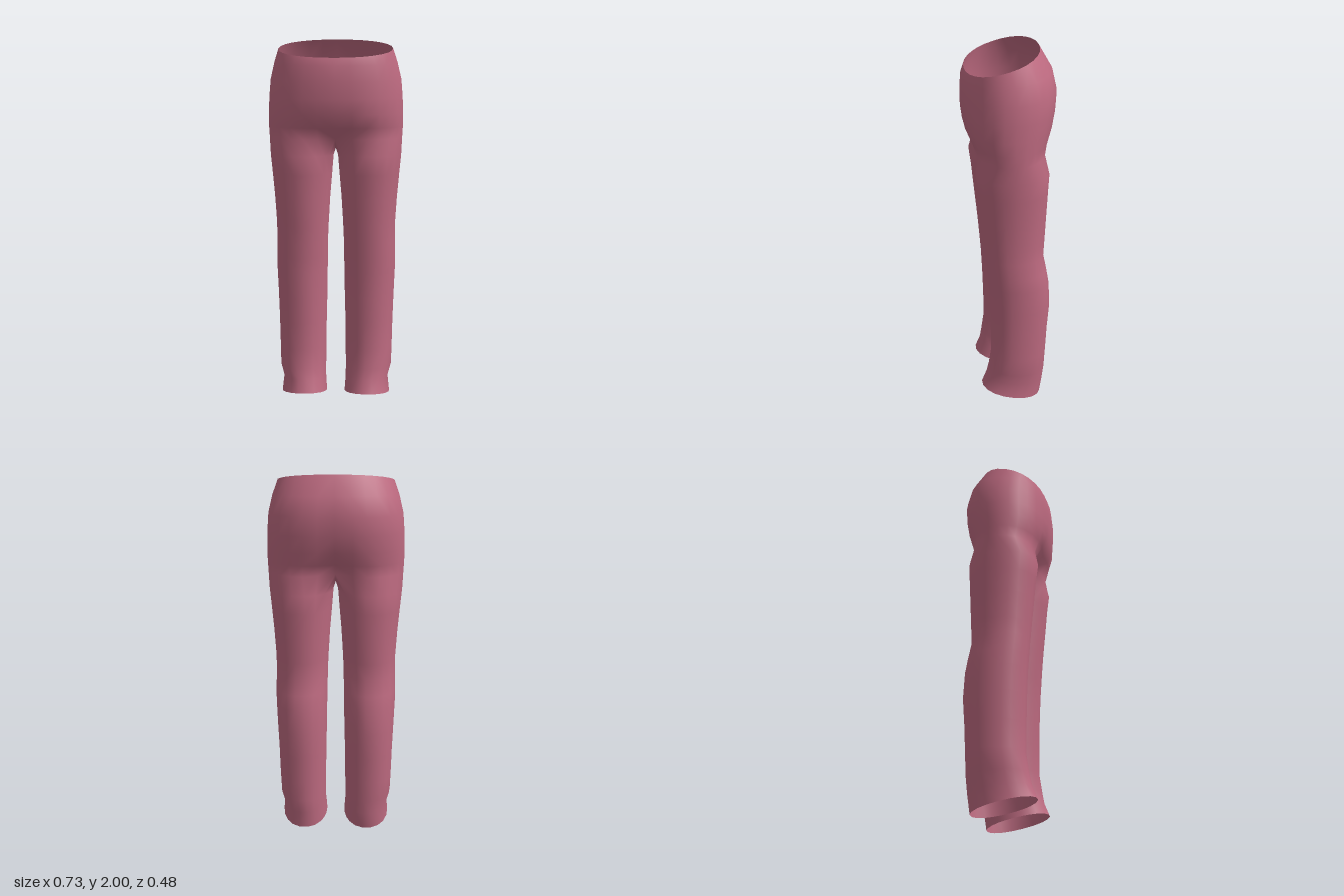
import * as THREE from 'three';
import { mergeVertices } from 'three/addons/utils/BufferGeometryUtils.js';

const OUT = 14; // segments from front centre round the outside to back centre
const INN = 6;  // segments along the inner leg and crotch seam

// Seat rows: front y, back y, half width, front z, back z, seam z at front and back
const seat = [
  [1.89, 2.0, 0.305, 0.225, -0.155, 0.225, -0.155],
  [1.85, 1.9, 0.33, 0.24, -0.222, 0.24, -0.212],
  [1.77, 1.8, 0.352, 0.247, -0.246, 0.247, -0.234],
  [1.68, 1.7, 0.36, 0.247, -0.24, 0.246, -0.22],
  [1.6, 1.61, 0.363, 0.243, -0.225, 0.232, -0.195],
  [1.53, 1.54, 0.363, 0.222, -0.205, 0.195, -0.155],
  [1.47, 1.48, 0.36, 0.203, -0.195, 0.125, -0.1],
];

// Leg rows: front y, back y, inner x, outer x, front z, back z
const leg = [
  [1.38, 1.38, 0.012, 0.356, 0.193, -0.188],
  [1.28, 1.28, 0.02, 0.347, 0.18, -0.183],
  [1.15, 1.15, 0.031, 0.336, 0.168, -0.177],
  [1.0, 1.0, 0.04, 0.327, 0.153, -0.17],
  [0.91, 0.91, 0.044, 0.327, 0.145, -0.165],
  [0.82, 0.82, 0.045, 0.33, 0.138, -0.183],
  [0.74, 0.74, 0.047, 0.33, 0.132, -0.197],
  [0.6, 0.6, 0.049, 0.325, 0.126, -0.205],
  [0.45, 0.45, 0.053, 0.32, 0.122, -0.194],
  [0.3, 0.3, 0.055, 0.317, 0.12, -0.187],
  [0.2, 0.18, 0.056, 0.314, 0.135, -0.181],
  [0.14, 0.1, 0.056, 0.295, 0.147, -0.175],
  [0.07, 0.0, 0.05, 0.304, 0.175, -0.16],
];

const power = (v, e) => Math.sign(v) * Math.pow(Math.abs(v), e);

// Half ring of the seat, from front centre to back centre
function seatRow([yF, yB, w, zF, zB, seamF, seamB]) {
  const row = [];
  for (let i = 0; i <= OUT; i++) {
    const t = Math.PI / 2 - (i / OUT) * Math.PI;
    const s = power(Math.sin(t), 0.92);
    const edge = Math.min(i, OUT - i);
    const pull = [1, 0.5, 0.12][edge] ?? 0;
    let z = (zF + zB) / 2 + (s * (zF - zB)) / 2;
    z += pull * (i < OUT / 2 ? seamF - zF : seamB - zB);
    const x = edge === 0 ? 0 : w * power(Math.cos(t), 0.92);
    row.push([x, THREE.MathUtils.lerp(yB, yF, (s + 1) / 2), z]);
  }
  return row;
}

// Closed ring of one leg, the first OUT steps outside and the rest inside
function legRow([yF, yB, xI, xO, zF, zB]) {
  const row = [];
  const start = 2.4;
  for (let i = 0; i < OUT + INN; i++) {
    const t = i <= OUT
      ? start - (2 * start * i) / OUT
      : -start - ((2 * Math.PI - 2 * start) * (i - OUT)) / INN;
    const s = power(Math.sin(t), 0.95);
    row.push([
      (xI + xO) / 2 + (power(Math.cos(t), 0.95) * (xO - xI)) / 2,
      THREE.MathUtils.lerp(yB, yF, (s + 1) / 2),
      (zF + zB) / 2 + (s * (zF - zB)) / 2,
    ]);
  }
  return row;
}

function trouserGeometry() {
  const rows = seat.map(seatRow);

  // Crotch seam closes the last seat row into a ring
  const last = rows[rows.length - 1];
  const back = last[OUT], front = last[0];
  for (let j = 1; j < INN; j++) {
    const f = j / INN;
    last.push([
      0,
      THREE.MathUtils.lerp(back[1], front[1], f) - 0.06 * Math.sin(Math.PI * f),
      THREE.MathUtils.lerp(back[2], front[2], f),
    ]);
  }
  rows.push(...leg.map(legRow));

  // Skin the left half and its mirror image
  const positions = [], index = [];
  for (const side of [1, -1]) {
    const first = [];
    for (const row of rows) {
      first.push(positions.length / 3);
      for (const [x, y, z] of row) positions.push(x * side, y, z);
    }
    for (let r = 0; r < rows.length - 1; r++) {
      const n = r < seat.length - 1 ? OUT : OUT + INN;
      for (let i = 0; i < n; i++) {
        const k = n === OUT ? i + 1 : (i + 1) % n;
        const a = first[r] + i, b = first[r] + k;
        const c = first[r + 1] + i, d = first[r + 1] + k;
        if (side > 0) index.push(a, c, b, b, c, d);
        else index.push(a, b, c, b, d, c);
      }
    }
  }
  const geometry = new THREE.BufferGeometry();
  geometry.setAttribute('position', new THREE.Float32BufferAttribute(positions, 3));
  geometry.setIndex(index);
  const welded = mergeVertices(geometry, 1e-4);
  welded.computeVertexNormals();
  return welded;
}

export function createModel() {
  const cloth = new THREE.MeshStandardMaterial({ color: 0xbd6a80, side: THREE.DoubleSide });
  cloth.name = 'rose cloth';

  const group = new THREE.Group();
  group.name = 'trousers';
  const mesh = new THREE.Mesh(trouserGeometry(), cloth);
  mesh.name = 'trouserCloth';
  group.add(mesh);
  return group;
}
